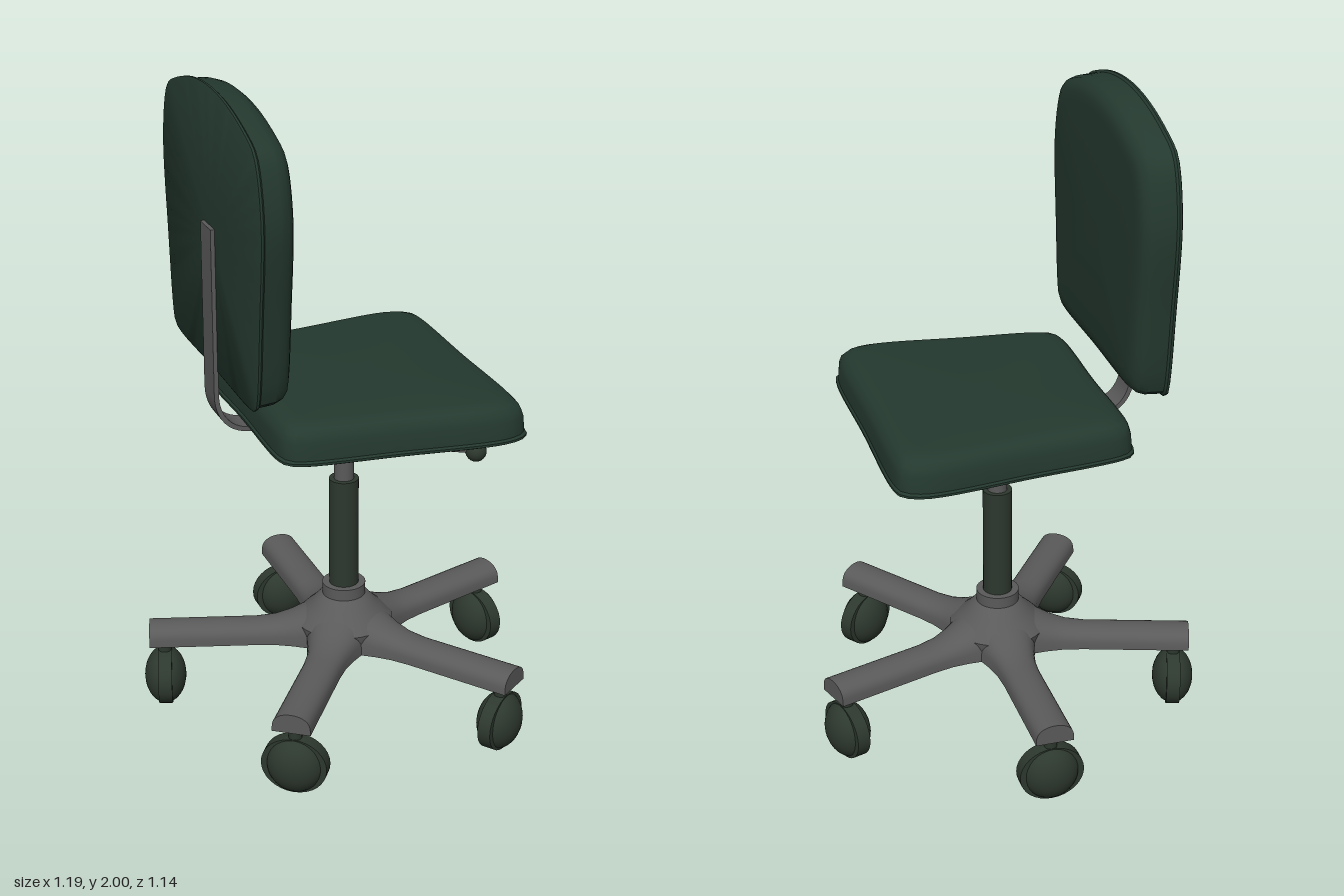
import * as THREE from 'three';
import { toCreasedNormals } from 'three/addons/utils/BufferGeometryUtils.js';

const V = (x, y, z) => new THREE.Vector3(x, y, z);
const CZ = 0.05; // z of the column axis

const paint = (name, color) => {
  const m = new THREE.MeshStandardMaterial({ color });
  m.name = name;
  return m;
};

// Closed solid through equal-length rings, with a fan on each end
function loft(rings, crease = 0.6) {
  const n = rings[0].length, pts = rings.flat(), idx = [];
  for (let r = 0; r < rings.length - 1; r++) {
    for (let i = 0; i < n; i++) {
      const a = r * n + i, b = r * n + (i + 1) % n;
      idx.push(a, b, b + n, a, b + n, a + n);
    }
  }
  [0, rings.length - 1].forEach((r, end) => {
    const c = pts.length;
    pts.push(rings[r].reduce((s, p) => s.add(p), V(0, 0, 0)).divideScalar(n));
    for (let i = 0; i < n; i++) {
      const a = r * n + i, b = r * n + (i + 1) % n;
      end ? idx.push(c, a, b) : idx.push(c, b, a);
    }
  });
  // Turn the faces outward
  let volume = 0;
  for (let i = 0; i < idx.length; i += 3) {
    volume += pts[idx[i]].dot(pts[idx[i + 1]].clone().cross(pts[idx[i + 2]]));
  }
  if (volume < 0) idx.reverse();
  const g = new THREE.BufferGeometry().setFromPoints(pts);
  g.setIndex(idx);
  return toCreasedNormals(g, crease);
}

// Padded cushion: half outline [along, half width], mirrored and stacked in inset layers
function cushion(half, base, thickness, place) {
  const mirrored = half.slice(1, -1).reverse().map(([u, w]) => [u, -w]);
  const curve = new THREE.CatmullRomCurve3(
    [...half, ...mirrored].map(([u, w]) => V(u, w, 0)), true, 'centripetal');
  const outline = curve.getSpacedPoints(96).slice(0, -1);
  const us = outline.map(p => p.x), ws = outline.map(p => p.y);
  const u0 = Math.min(...us), u1 = Math.max(...us), mid = (u0 + u1) / 2;
  const hu = (u1 - u0) / 2, hw = Math.max(...ws);
  const layers = [[0, 0.006], [0.03, 0], [0.09, 0], [0.14, 0.006], [0.55, 0.009],
    [0.75, 0.016], [0.89, 0.03], [0.97, 0.05], [1, 0.08]];
  return loft(layers.map(([t, inset]) => outline.map(p => place(
    mid + (p.x - mid) * (1 - inset / hu), p.y * (1 - inset / hw), base + t * thickness))));
}

// Base leg pointing along +z, arched on top and flat below
function legGeometry() {
  const stations = [[0, 0.1, 0.33], [0.08, 0.1, 0.33], [0.12, 0.086, 0.314], [0.16, 0.073, 0.296],
    [0.21, 0.062, 0.281], [0.27, 0.058, 0.275], [0.6, 0.058, 0.275]];
  return loft(stations.map(([r, w, top]) => Array.from({ length: 17 }, (_, i) => {
    const a = Math.PI * i / 16;
    return V(w * Math.cos(a), 0.215 + (top - 0.215) * Math.pow(Math.max(0, Math.sin(a)), 0.6), r);
  })));
}

export function createModel() {
  const model = new THREE.Group();
  model.name = 'officeChair';
  const fabric = paint('green fabric', 0x24392f);
  const metal = paint('grey metal', 0x5a5a5a);
  const plastic = paint('dark plastic', 0x2d382e);

  const add = (name, geometry, material, x = 0, y = 0, z = 0, parent = model) => {
    const m = new THREE.Mesh(geometry, material);
    m.name = name;
    m.position.set(x, y, z);
    parent.add(m);
    return m;
  };

  // Seat, wider toward its front edge
  add('seat', cushion([[0.413, 0], [0.413, 0.36], [0.4, 0.41], [0.34, 0.44], [0, 0.407],
    [-0.27, 0.374], [-0.305, 0.355], [-0.32, 0.32], [-0.32, 0]],
  0.99, 0.115, (u, w, t) => V(u, t, CZ + w)), fabric);

  // Backrest with an arched top
  add('backrest', cushion([[2, 0], [1.985, 0.16], [1.943, 0.31], [1.915, 0.37], [1.87, 0.4],
    [1.725, 0.43], [1.45, 0.407], [1.21, 0.377], [1.178, 0.362], [1.167, 0.33], [1.167, 0]],
  -0.405, 0.115, (u, w, t) => V(t, u, CZ + w)), fabric);

  // Plate and mechanism under the seat
  add('seatPlate', new THREE.BoxGeometry(0.5, 0.009, 0.5), metal, 0, 0.987, CZ);
  add('mechanism', new THREE.BoxGeometry(0.16, 0.05, 0.16), metal, 0, 0.963, CZ);

  // Bent flat bar holding the backrest
  const bar = new THREE.Shape();
  bar.moveTo(-0.06, 0.972);
  bar.lineTo(-0.3, 0.972);
  bar.bezierCurveTo(-0.37, 0.972, -0.417, 1.02, -0.417, 1.1);
  bar.lineTo(-0.417, 1.6);
  bar.lineTo(-0.403, 1.6);
  bar.lineTo(-0.403, 1.1);
  bar.bezierCurveTo(-0.403, 1.03, -0.363, 0.986, -0.3, 0.986);
  bar.lineTo(-0.06, 0.986);
  const barGeometry = new THREE.ExtrudeGeometry(bar, { depth: 0.09, bevelEnabled: false, curveSegments: 12 });
  add('backBar', toCreasedNormals(barGeometry, 0.6), metal, 0, 0, CZ - 0.045);

  // Height lever and knob
  const leverPath = new THREE.CatmullRomCurve3([V(0, 0.963, 0.1), V(0, 0.96, 0.2),
    V(0.02, 0.956, 0.27), V(0.1, 0.949, 0.31), V(0.28, 0.932, 0.38)]);
  add('lever', new THREE.TubeGeometry(leverPath, 24, 0.008, 8), metal);
  add('leverKnob', new THREE.SphereGeometry(0.031, 20, 14), plastic, 0.28, 0.932, 0.38);

  // Column
  add('gasPost', new THREE.CylinderGeometry(0.03, 0.03, 0.24, 24), metal, 0, 0.85, CZ);
  add('columnSleeve', new THREE.CylinderGeometry(0.045, 0.045, 0.38, 24), plastic, 0, 0.56, CZ);

  // Flared hub
  const hub = [[0, 0.215], [0.13, 0.215], [0.145, 0.25], [0.15, 0.28], [0.12, 0.312], [0.095, 0.335],
    [0.075, 0.358], [0.066, 0.364], [0.066, 0.4], [0, 0.4]].map(p => new THREE.Vector2(...p));
  add('hub', toCreasedNormals(new THREE.LatheGeometry(hub, 40), 0.7), metal, 0, 0, CZ);

  // Five legs, each with a caster
  const leg = legGeometry();
  const wheel = new THREE.SphereGeometry(1, 28, 18).scale(0.086, 0.09, 0.064);
  const fender = new THREE.CylinderGeometry(1, 1, 1, 32).rotateX(Math.PI / 2).scale(0.099, 0.088, 0.042);
  const stem = new THREE.CylinderGeometry(0.02, 0.02, 0.06, 16);
  for (let i = 0; i < 5; i++) {
    const arm = new THREE.Group();
    arm.name = 'baseArm';
    arm.position.z = CZ;
    arm.rotation.y = Math.PI + i * Math.PI * 2 / 5;
    model.add(arm);
    add('leg', leg, metal, 0, 0, 0, arm);
    add('casterStem', stem, plastic, 0, 0.195, 0.555, arm);
    add('casterWheel', wheel, plastic, 0, 0.09, 0.555, arm);
    add('casterFender', fender, plastic, 0, 0.09, 0.555, arm);
  }
  return model;
}
